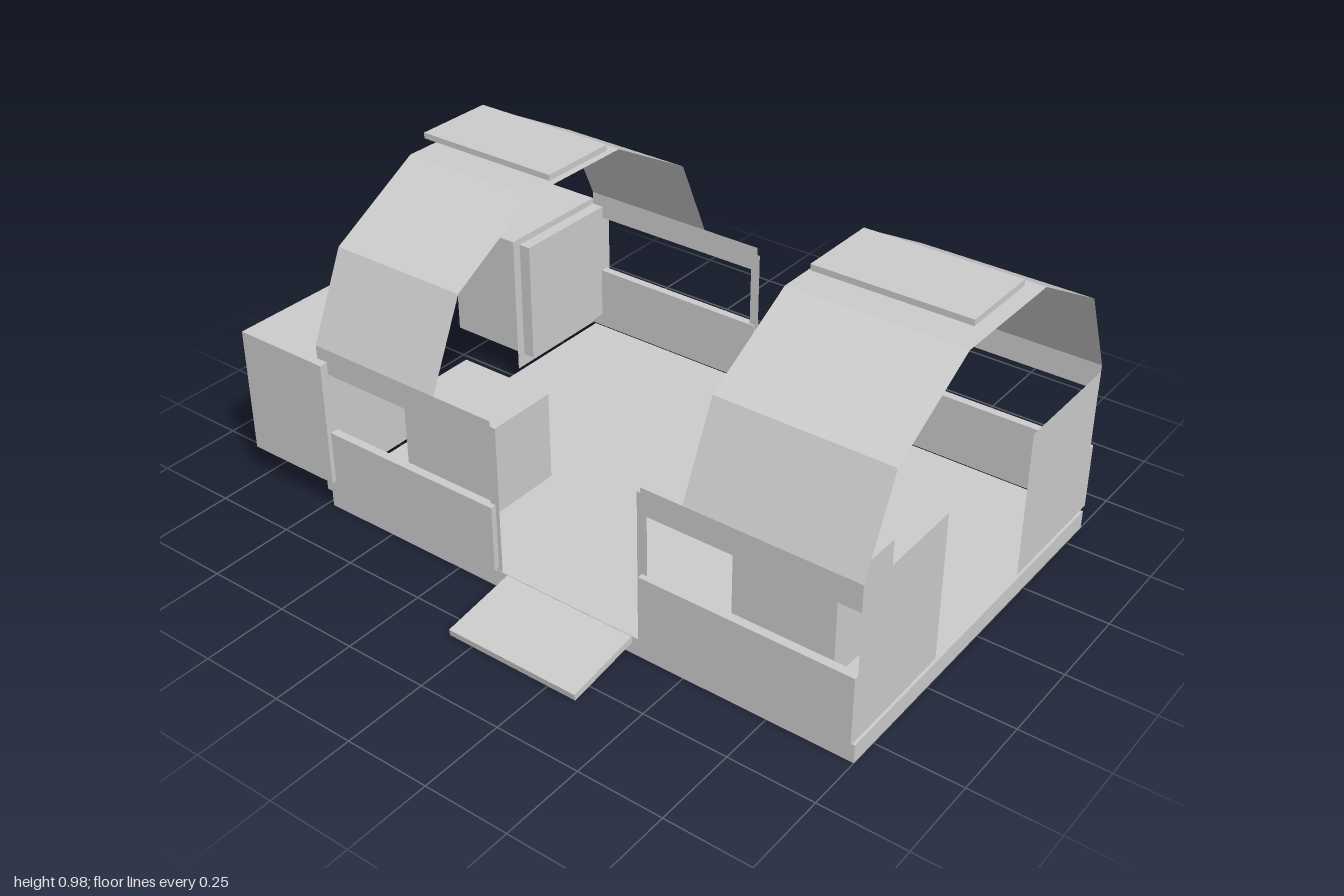
import * as THREE from 'three';

const grey = new THREE.MeshStandardMaterial({ color: 0xcccccc, side: THREE.DoubleSide });
grey.name = 'plain grey';

export function createModel() {
  const model = new THREE.Group();
  model.name = 'pavilion';

  function add(name, geometry, x = 0, y = 0, z = 0) {
    const mesh = new THREE.Mesh(geometry, grey);
    mesh.name = name;
    mesh.position.set(x, y, z);
    model.add(mesh);
    return mesh;
  }

  // box given by its limits on each axis
  function box(name, [x0, x1], [y0, y1], [z0, z1]) {
    return add(name, new THREE.BoxGeometry(x1 - x0, y1 - y0, z1 - z0),
      (x0 + x1) / 2, (y0 + y1) / 2, (z0 + z1) / 2);
  }

  // thin upright sheet facing front or back
  function sheet(name, [x0, x1], [y0, y1], z) {
    const mesh = add(name, new THREE.PlaneGeometry(x1 - x0, y1 - y0), (x0 + x1) / 2, (y0 + y1) / 2, z);
    if (z < 0) mesh.rotation.y = Math.PI;
  }

  // faceted arched roof sheet, running from back to front
  const profile = [[-0.59, 0.525], [-0.48, 0.775], [-0.185, 0.937], [0.185, 0.937], [0.475, 0.775], [0.59, 0.525]];
  function roof([x0, x1]) {
    const g = new THREE.PlaneGeometry(x1 - x0, 1, 1, profile.length - 1);
    const p = g.attributes.position;
    for (let i = 0; i < p.count; i++) {
      const [z, y] = profile[Math.floor(i / 2)];
      p.setXYZ(i, p.getX(i), y, z);
    }
    const flat = g.toNonIndexed();
    flat.computeVertexNormals();
    add('archedRoof', flat, (x0 + x1) / 2);
  }

  // platform
  box('floor', [-0.73, 1], [0, 0.055], [-0.59, 0.587]);

  // the two rooms: wall span, roof span, roof panel span, post span, table span
  const rooms = [
    { end: -0.73, wall: [-0.73, -0.107], roof: [-0.73, -0.3], cap: [-0.737, -0.29], post: [-0.125, -0.095], table: [-0.575, -0.27] },
    { end: 0.997, wall: [0.372, 0.997], roof: [0.497, 0.997], cap: [0.525, 0.97], post: [0.357, 0.387], table: [0.535, 0.84] },
  ];
  for (const r of rooms) {
    roof(r.roof);
    box('roofPanel', r.cap, [0.96, 0.977], [-0.12, 0.12]);
    box('table', r.table, [0.067, 0.34], [0.178, 0.433]);
    for (const s of [-1, 1]) {
      box('lowerWall', r.wall, [0.065, 0.265], s < 0 ? [-0.605, -0.58] : [0.577, 0.602]);
      sheet('windowRail', r.wall, [0.447, 0.525], s * 0.59);
      sheet('doorPost', r.post, [0.055, 0.505], s * 0.585);

      // end wall beside the open end doorway
      const wall = add('endWall', new THREE.PlaneGeometry(0.377, 0.44), r.end, 0.285, s * 0.4);
      wall.rotation.y = Math.sign(r.end) * Math.PI / 2;
    }
  }

  // cubes standing out of the right end
  for (const [z0, z1] of [[-0.62, -0.24], [0.235, 0.615]]) {
    box('sideCube', [-1, -0.693], [0.105, 0.485], [z0, z1]);
  }

  // sloping ramps at the front and back doors
  for (const s of [-1, 1]) {
    const ramp = add('ramp', new THREE.BoxGeometry(0.415, 0.02, 0.23), 0.133, 0.029, s * 0.702);
    ramp.rotation.x = s * 0.15;
  }

  return model;
}
